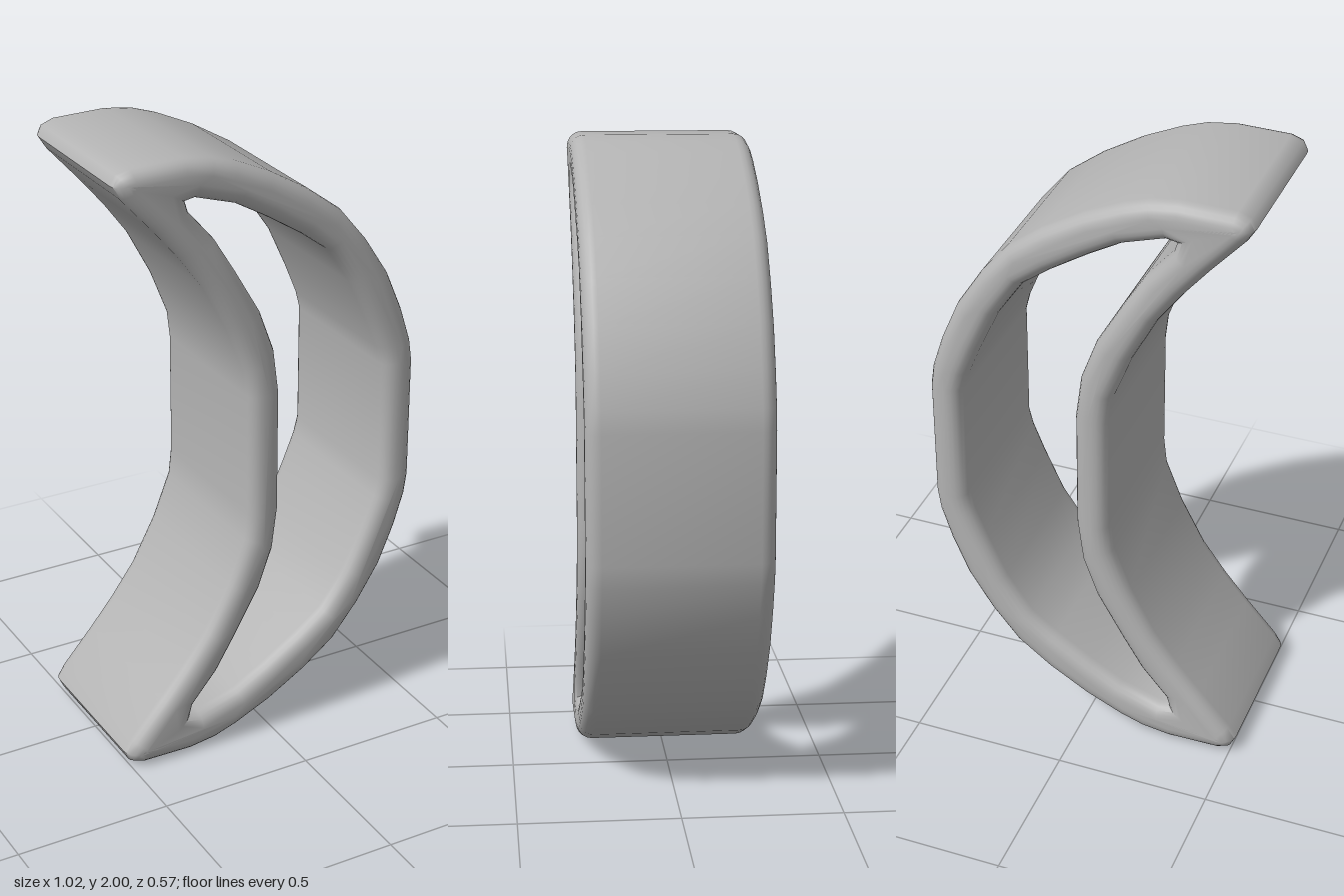
import * as THREE from 'three';
import { toCreasedNormals } from 'three/addons/utils/BufferGeometryUtils.js';

// Upper halves of the two contours, mirrored about y = 1
const OUTER = [
  [0.51, 1.2], [0.5, 1.27], [0.465, 1.38], [0.41, 1.51], [0.33, 1.635], [0.24, 1.745],
  [0.13, 1.828], [0, 1.905], [-0.12, 1.96], [-0.2, 1.987], [-0.29, 2], [-0.46, 1.997],
  [-0.5, 1.982], [-0.515, 1.95], [-0.49, 1.91], [-0.386, 1.793], [-0.307, 1.698],
  [-0.228, 1.59], [-0.148, 1.438], [-0.09, 1.29], [-0.08, 1.2],
];
const INNER = [
  [0.4, 1.2], [0.385, 1.26], [0.344, 1.36], [0.28, 1.5], [0.195, 1.625], [0.106, 1.692],
  [-0.016, 1.77], [-0.12, 1.83], [-0.255, 1.873], [-0.285, 1.868], [-0.275, 1.835],
  [-0.19, 1.735], [-0.12, 1.62], [-0.037, 1.475], [0.012, 1.34], [0.03, 1.2],
];

function closedContour(half) {
  const mirrored = half.map(([x, y]) => [x, 2 - y]).reverse();
  return [...half, ...mirrored].map(([x, y]) => new THREE.Vector2(x, y));
}

export function createModel() {
  const group = new THREE.Group();
  group.name = 'crescentFrame';
  const grey = new THREE.MeshStandardMaterial({ color: 0xb4b4b4 });
  grey.name = 'grey';

  // Crescent band with an open middle and rounded rims
  const shape = new THREE.Shape(closedContour(OUTER));
  shape.holes.push(new THREE.Path(closedContour(INNER)));
  const round = 0.047;
  const depth = 0.57 - 2 * round;
  const geometry = new THREE.ExtrudeGeometry(shape, {
    depth,
    bevelEnabled: true,
    bevelThickness: round,
    bevelSize: round,
    bevelOffset: -round,
    bevelSegments: 5,
  });
  geometry.translate(0, 0, -depth / 2);
  const band = new THREE.Mesh(toCreasedNormals(geometry, 0.9), grey);
  band.name = 'crescentBand';
  group.add(band);
  return group;
}
